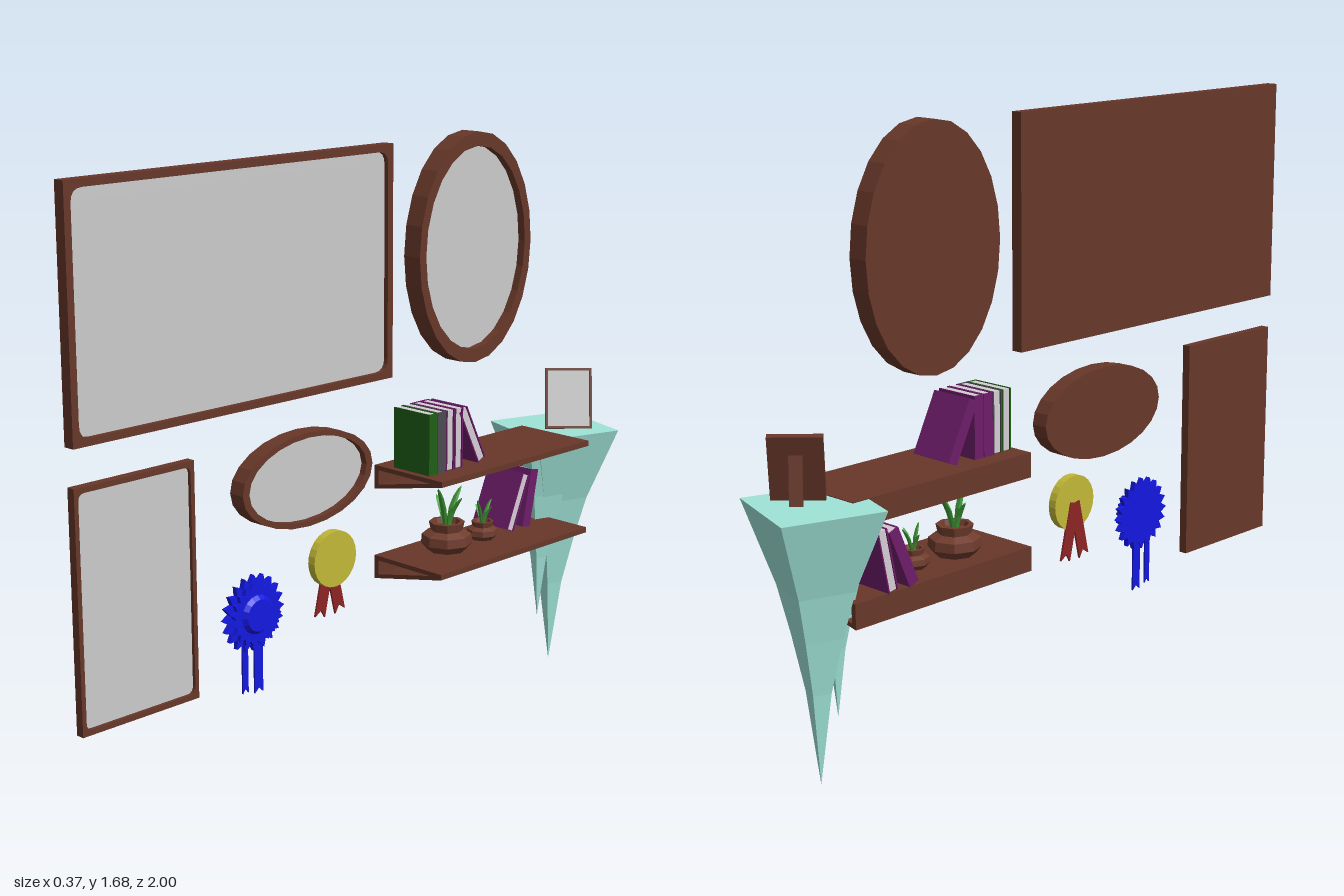
import * as THREE from 'three';

const mat = (color) => new THREE.MeshStandardMaterial({ color, flatShading: true, side: THREE.DoubleSide });
const WOOD = mat(0x673729), GLASS = mat(0xcccccc), POT = mat(0x6f3c2c), LEAF = mat(0x3f9a35);
const BLUE = mat(0x1418e0), GOLD = mat(0xc2b837), RED = mat(0x8c2525), TEAL = mat(0x9fe3d7);
const PURPLE = mat(0x6e1c6a), GREEN = mat(0x1f6015), DARK = mat(0x4a4a50), PAGES = mat(0xd6ccd4);

const V2 = (x, y) => new THREE.Vector2(x, y);

function add(parent, name, geometry, material, x = 0, y = 0, z = 0) {
  const mesh = new THREE.Mesh(geometry, material);
  mesh.name = name;
  mesh.position.set(x, y, z);
  parent.add(mesh);
  return mesh;
}

function group(parent, name, x, y, z) {
  const g = new THREE.Group();
  g.name = name;
  g.position.set(x, y, z);
  parent.add(g);
  return g;
}

// Group whose local +z points to world +x (wall decorations)
function wallGroup(parent, name, x, y, z) {
  const g = group(parent, name, x, y, z);
  g.rotation.y = Math.PI / 2;
  return g;
}

const extrude = (shape, depth) => new THREE.ExtrudeGeometry(shape, { depth, bevelEnabled: false, curveSegments: 4 });

function roundRect(w, h, r) {
  const s = new THREE.Shape(), a = w / 2, b = h / 2;
  s.moveTo(-a + r, -b);
  s.lineTo(a - r, -b).quadraticCurveTo(a, -b, a, -b + r);
  s.lineTo(a, b - r).quadraticCurveTo(a, b, a - r, b);
  s.lineTo(-a + r, b).quadraticCurveTo(-a, b, -a, b - r);
  s.lineTo(-a, -b + r).quadraticCurveTo(-a, -b, -a + r, -b);
  return s;
}

function rect(w, h) {
  return new THREE.Shape([V2(-w / 2, -h / 2), V2(w / 2, -h / 2), V2(w / 2, h / 2), V2(-w / 2, h / 2)]);
}

// Closed outline whose points alternate between two radius scales
function radial(count, rx, ry, dip = 1) {
  return new THREE.Shape(Array.from({ length: count }, (_, i) => {
    const a = (i / count) * Math.PI * 2 + Math.PI / 2, k = i % 2 ? dip : 1;
    return V2(Math.cos(a) * rx * k, Math.sin(a) * ry * k);
  }));
}

// Frame rim, solid back and recessed pane
function framed(parent, outer, inner, depth) {
  const back = extrude(outer, depth * 0.3);
  add(parent, 'frameBack', back, WOOD);
  const rim = outer.clone();
  rim.holes = [inner];
  add(parent, 'frameRim', extrude(rim, depth * 0.7), WOOD, 0, 0, depth * 0.3);
  add(parent, 'pane', new THREE.ShapeGeometry(inner, 4), GLASS, 0, 0, depth * 0.6);
}

// Book standing on its lower edge, leaning by an angle around x
function book(parent, x, y, z, lean, cover, spineOut, h = 0.175) {
  const g = group(parent, 'book', x, y, z);
  const w = 0.136, t = 0.033, c = 0.004;
  g.rotation.x = lean;
  for (const s of [-1, 1]) add(g, 'bookCover', new THREE.BoxGeometry(w, h, c), cover, 0, h / 2, s * (t - c) / 2);
  add(g, 'bookSpine', new THREE.BoxGeometry(c, h, t), cover, (spineOut ? 1 : -1) * (w - c) / 2, h / 2, 0);
  add(g, 'bookPages', new THREE.BoxGeometry(w - 2 * c, h - c, t - 2 * c), PAGES, 0, h / 2, 0);
}

// Hollow wedge-shaped shelf, top surface at y
function shelf(parent, name, y) {
  const s = new THREE.Shape([V2(-0.075, -0.07), V2(0.185, -0.016), V2(0.185, 0), V2(-0.075, 0)]);
  s.holes.push(new THREE.Path([V2(-0.06, -0.055), V2(-0.06, -0.013), V2(0.14, -0.013)]));
  add(parent, name, extrude(s, 0.64), WOOD, 0, y, -0.75);
}

function plant(parent, x, y, z, size) {
  const g = group(parent, 'pottedPlant', x, y, z);
  g.scale.setScalar(size);
  const profile = [[0, 0], [0.055, 0], [0.074, 0.022], [0.072, 0.048], [0.046, 0.06], [0.052, 0.085], [0.04, 0.085], [0.036, 0.07], [0, 0.07]];
  add(g, 'pot', new THREE.LatheGeometry(profile.map((p) => V2(...p)), 8), POT);
  // Bent, flattened leaves
  [[0, 0.125, 0.03], [1.7, 0.1, 0.045], [3.1, 0.115, 0.05], [4.6, 0.09, 0.04]].forEach(([turn, h, bend]) => {
    const geo = new THREE.SphereGeometry(1, 6, 6);
    geo.scale(0.012, h / 2, 0.006).translate(0, h / 2, 0);
    const p = geo.attributes.position;
    for (let i = 0; i < p.count; i++) p.setZ(i, p.getZ(i) + bend * (p.getY(i) / h) ** 2);
    add(g, 'leaf', geo, LEAF, 0.008 * Math.sin(turn), 0.065, 0.008 * Math.cos(turn)).rotation.y = turn;
  });
}

// Square, concave spike with a flat top
function spike(parent, name, x, tip, z, top, r) {
  const h = top - tip;
  const profile = [[0, 0], [0.18, 0.34], [0.36, 0.54], [0.54, 0.71], [1, 1], [0, 1]];
  const geo = new THREE.LatheGeometry(profile.map(([a, b]) => V2(a * r, b * h)), 4);
  add(parent, name, geo, TEAL, x, tip, z).rotation.y = 0.475;
}

export function createModel() {
  const root = new THREE.Group();
  root.name = 'wallDecorations';

  // Rectangular and oval frames
  framed(wallGroup(root, 'largeFrame', -0.03, 1.348, 0.45), rect(1.1, 0.645), roundRect(1.06, 0.605, 0.035), 0.034);
  framed(wallGroup(root, 'smallFrame', -0.025, 0.603, 0.81), rect(0.38, 0.645), roundRect(0.355, 0.615, 0.02), 0.025);
  framed(wallGroup(root, 'tallOvalMirror', -0.04, 1.35, -0.425), radial(24, 0.235, 0.33), radial(24, 0.209, 0.29), 0.06);
  framed(wallGroup(root, 'wideOvalMirror', -0.035, 0.8, 0.23), radial(24, 0.24, 0.131), radial(24, 0.217, 0.116), 0.05);

  // Blue rosette
  const rosette = wallGroup(root, 'rosette', -0.03, 0.457, 0.408);
  add(rosette, 'rosetteRuffle', extrude(radial(40, 0.108, 0.108, 0.8), 0.015), BLUE);
  add(rosette, 'rosetteInnerRuffle', extrude(radial(40, 0.088, 0.088, 0.85), 0.012), BLUE, 0, 0, 0.015).rotation.z = 0.15;
  add(rosette, 'rosetteButton', new THREE.CylinderGeometry(0.045, 0.055, 0.012, 16), BLUE, 0, 0, 0.033).rotation.x = Math.PI / 2;
  [[-0.03, 0.02, -0.222], [0.018, 0.03, -0.232]].forEach(([x, w, end]) => {
    const tail = new THREE.Shape([V2(-w / 2, 0), V2(-w / 2, end), V2(0, end + 0.014), V2(w / 2, end), V2(w / 2, 0)]);
    add(rosette, 'rosetteTail', extrude(tail, 0.005), BLUE, x, 0, 0.004);
  });

  // Gold medal
  const medal = wallGroup(root, 'medal', -0.02, 0.55, 0.127);
  add(medal, 'medalDisc', new THREE.CylinderGeometry(0.08, 0.08, 0.025, 24), GOLD, 0, 0, 0.015).rotation.x = Math.PI / 2;
  for (const s of [-1, 1]) {
    const tail = new THREE.Shape([V2(-0.019, 0), V2(-0.019, -0.17), V2(0, -0.15), V2(0.019, -0.17), V2(0.019, 0)]);
    add(medal, 'medalTail', extrude(tail, 0.006), RED).rotation.z = s * 0.23;
  }

  // Shelves with books and plants
  shelf(root, 'upperShelf', 0.757);
  shelf(root, 'lowerShelf', 0.489);
  [[GREEN, true], [DARK, true], [PURPLE, false], [PURPLE, false]].forEach(([c, out], i) =>
    book(root, 0.05, 0.757, -0.146 - i * 0.035, 0, c, out));
  book(root, 0.05, 0.762, -0.35, 0.36 + 0.1, PURPLE, false, 0.18);
  book(root, -0.01, 0.494, -0.55, -0.4, PURPLE, false);
  book(root, -0.01, 0.491, -0.622, -0.2, PURPLE, true);
  plant(root, 0.035, 0.489, -0.295, 1);
  plant(root, 0.035, 0.489, -0.45, 0.63);

  // Spiked corner table
  spike(root, 'tableSpike', -0.01, 0, -0.824, 0.755, 0.199);
  spike(root, 'smallTableSpike', 0, 0.163, -0.752, 0.728, 0.137);

  // Leaning photo stand
  const photo = group(root, 'photoStand', 0.054, 0.758, -0.817);
  photo.rotation.set(-0.27, Math.PI / 4, 0, 'YXZ');
  const picture = group(photo, 'photoFrame', 0, 0.092, -0.015);
  framed(picture, rect(0.14, 0.184), rect(0.126, 0.168), 0.018);
  const prop = add(photo, 'photoProp', new THREE.BoxGeometry(0.035, 0.13, 0.007), WOOD, 0, 0.072, -0.04);
  prop.rotation.x = 0.42;

  return root;
}
